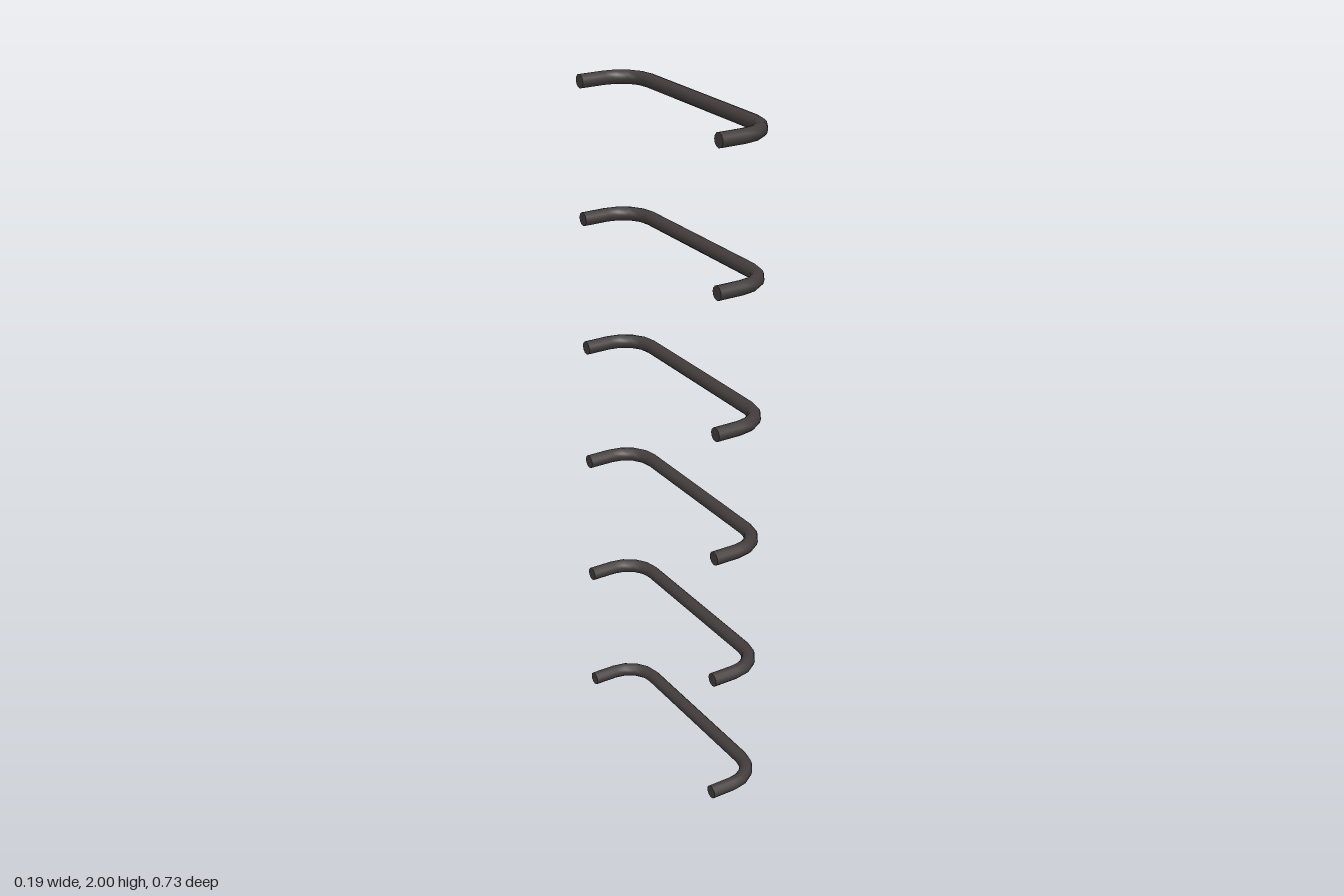
import * as THREE from 'three';
import { mergeGeometries } from 'three/addons/utils/BufferGeometryUtils.js';

const RADIUS = 0.02, SIDES = 12;
const END_X = -0.095, BAR_X = 0.073, LEG_Z = 0.347, BEND = 0.093, BEND_STEPS = 4;

// Rung centre line: leg, quarter bend, grip bar, quarter bend, leg
function rungPoints() {
  const half = [new THREE.Vector3(END_X, 0, LEG_Z)];
  for (let i = 0; i <= BEND_STEPS; i++) {
    const a = (i / BEND_STEPS) * Math.PI / 2;
    half.push(new THREE.Vector3(
      BAR_X - BEND + BEND * Math.sin(a), 0, LEG_Z - BEND + BEND * Math.cos(a)));
  }
  const mirrored = half.map(p => new THREE.Vector3(p.x, 0, -p.z)).reverse();
  return [...half, ...mirrored];
}

// Curve that puts one tube ring on each point, with exact bend tangents
class RungCurve extends THREE.Curve {
  constructor(points) {
    super();
    this.points = points;
  }
  getPointAt(u, target = new THREE.Vector3()) {
    return target.copy(this.points[Math.round(u * (this.points.length - 1))]);
  }
  getTangentAt(u, target = new THREE.Vector3()) {
    const last = this.points.length - 1;
    const i = Math.round(u * last);
    const side = i <= last / 2 ? i : last - i;
    const a = Math.max(0, side - 1) / BEND_STEPS * Math.PI / 2;
    return target.set(Math.cos(a) * (i <= last / 2 ? 1 : -1), 0, -Math.sin(a));
  }
}

function rungGeometry() {
  const points = rungPoints();
  const tube = new THREE.TubeGeometry(new RungCurve(points), points.length - 1, RADIUS, SIDES);
  // Flat discs close the wall ends
  const caps = [-1, 1].map(s =>
    new THREE.CircleGeometry(RADIUS, SIDES).rotateY(-Math.PI / 2).translate(END_X, 0, s * LEG_Z));
  return mergeGeometries([tube, ...caps]);
}

export function createModel() {
  const group = new THREE.Group();
  group.name = 'wallLadder';
  const darkMetal = new THREE.MeshStandardMaterial({ color: 0x433c3c });
  darkMetal.name = 'dark metal';

  const geometry = rungGeometry();
  [0.02, 0.415, 0.812, 1.188, 1.585, 1.98].forEach((y, i) => {
    const rung = new THREE.Mesh(geometry, darkMetal);
    rung.name = `rung${i + 1}`;
    rung.position.y = y;
    group.add(rung);
  });
  return group;
}
